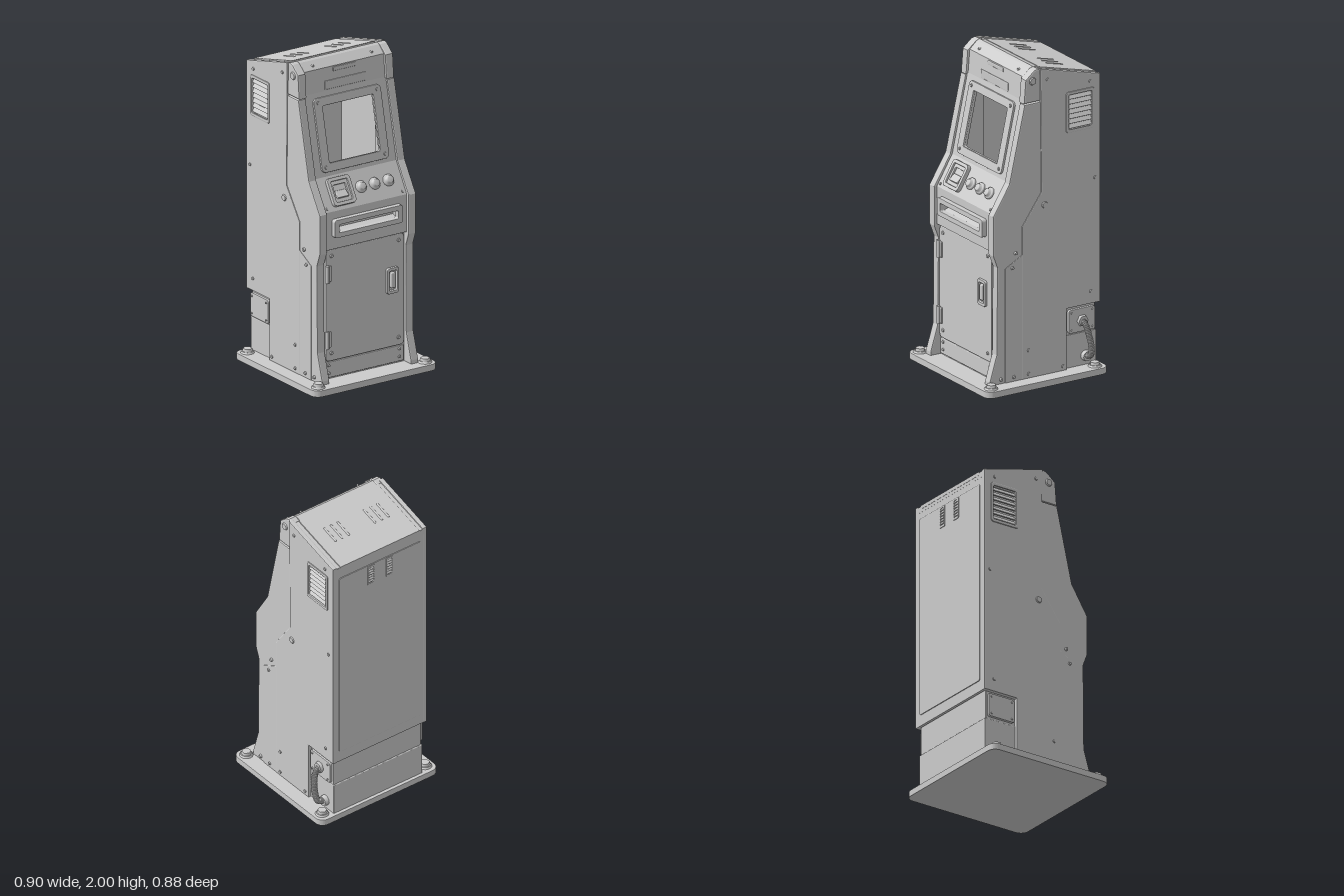
import * as THREE from 'three';
import { RoundedBoxGeometry } from 'three/addons/geometries/RoundedBoxGeometry.js';

const mat = new THREE.MeshStandardMaterial({ color: 0xcccccc });

function add(parent, name, geo, x = 0, y = 0, z = 0) {
  const m = new THREE.Mesh(geo, mat);
  m.name = name;
  m.position.set(x, y, z);
  parent.add(m);
  return m;
}
const box = (w, h, d, r = 0.005) => new RoundedBoxGeometry(w, h, d, 2, r);

function roundRect(path, w, h, r, cx = 0, cy = 0) {
  const a = w / 2, b = h / 2;
  path.absarc(cx + a - r, cy + b - r, r, 0, Math.PI / 2);
  path.absarc(cx - a + r, cy + b - r, r, Math.PI / 2, Math.PI);
  path.absarc(cx - a + r, cy - b + r, r, Math.PI, Math.PI * 1.5);
  path.absarc(cx + a - r, cy - b + r, r, Math.PI * 1.5, Math.PI * 2);
  path.closePath();
  return path;
}

// Plate facing +z with its front at z = 0 + depth, optionally pierced
function plate(w, h, depth, r, hw, hh, bevel = 0.004) {
  const s = roundRect(new THREE.Shape(), w - 2 * bevel, h - 2 * bevel, r);
  if (hw) s.holes.push(roundRect(new THREE.Path(), hw + 2 * bevel, hh + 2 * bevel, 0.012));
  const g = new THREE.ExtrudeGeometry(s, { depth: depth - 2 * bevel, bevelEnabled: bevel > 0,
    bevelSize: bevel, bevelThickness: bevel, bevelSegments: 2, curveSegments: 5 });
  return g.translate(0, 0, bevel);
}

// Side profile of [z, y] points extruded from x0 to x1
function profile(pts, x0, x1, bevel = 0.005, hole) {
  const s = new THREE.Shape(pts.map(([z, y]) => new THREE.Vector2(-z, y)));
  if (hole) s.holes.push(hole);
  const g = new THREE.ExtrudeGeometry(s, { depth: x1 - x0 - 2 * bevel, bevelEnabled: bevel > 0,
    bevelSize: bevel, bevelOffset: -bevel, bevelThickness: bevel, bevelSegments: 2, curveSegments: 4 });
  return g.rotateY(Math.PI / 2).translate(x0 + bevel, 0, 0);
}

// Group lying on the slope between two [z, y] points, local z pointing outward
function slope(parent, name, lo, hi) {
  const g = new THREE.Group();
  g.name = name;
  g.position.set(0, (lo[1] + hi[1]) / 2, (lo[0] + hi[0]) / 2);
  g.rotation.x = Math.atan2(hi[0] - lo[0], hi[1] - lo[1]);
  g.userData.length = Math.hypot(hi[0] - lo[0], hi[1] - lo[1]);
  parent.add(g);
  return g;
}

function screw(parent, x, y, z, r = 0.011, axis = 'z') {
  const g = new THREE.CylinderGeometry(r * 0.75, r, 0.012, 14);
  if (axis === 'z') g.rotateX(Math.PI / 2);
  else g.rotateZ(x > 0 ? -Math.PI / 2 : Math.PI / 2);
  add(parent, 'screw', g, x, y, z);
}

function buildSide(root, s) {
  const g = new THREE.Group();
  g.name = s > 0 ? 'leftSide' : 'rightSide';
  root.add(g);
  const put = (name, pts, a, b, bevel, hole) =>
    add(g, name, profile(pts, s > 0 ? a : -b, s > 0 ? b : -a, bevel, hole));
  // Main shell side with vent opening
  put('shellSide', [[0, 1.997], [-0.43, 1.885], [-0.43, 0.43], [-0.19, 0.43], [-0.19, 0.04],
    [0.13, 0.04], [0.13, 1.015], [-0.007, 1.21]], 0.325, 0.357, 0.006,
    roundRect(new THREE.Path(), 0.175, 0.23, 0.008, 0.283, 1.68));
  // Front frame, top cap and lower side cover
  put('frontFrame', [[-0.02, 1.785], [0.11, 1.785], [0.22, 1.30], [0.335, 1.115], [0.335, 0.865],
    [0.305, 0.785], [0.31, 0.23], [0.36, 0.065], [0.36, 0.04], [0.1, 0.04], [0.1, 1.0], [-0.02, 1.19]],
    0.297, 0.352, 0.007);
  put('frameCap', [[-0.02, 1.985], [0.015, 1.998], [0.04, 1.99], [0.1, 1.94], [0.112, 1.79], [-0.02, 1.79]],
    0.29, 0.348, 0.009);
  put('lowerCover', [[0.12, 0.04], [0.25, 0.04], [0.25, 0.77], [0.12, 0.84]], 0.33, 0.355, 0.004);
  // Louvred vent
  const vent = add(g, 'ventFrame', plate(0.2, 0.26, 0.012, 0.012, 0.165, 0.22), s * 0.351, 1.68, -0.283);
  vent.rotation.y = s * Math.PI / 2;
  add(g, 'ventBack', new THREE.BoxGeometry(0.006, 0.25, 0.19), s * 0.326, 1.68, -0.283);
  for (let i = 0; i < 7; i++) {
    const slat = add(g, 'ventSlat', new THREE.BoxGeometry(0.006, 0.032, 0.17), s * 0.345, 1.587 + i * 0.031, -0.283);
    slat.rotation.z = s * 0.6;
  }
  // Screws and pivot bolt
  [[-0.05, 1.92], [-0.355, 1.85], [-0.39, 1.23], [-0.36, 0.51], [0.085, 0.22], [0.085, 0.07],
    [0.2, 0.765], [0.175, 0.855], [0.19, 0.07], [0.28, 0.07], [-0.16, 0.07]]
    .forEach(([z, y]) => screw(g, s * 0.357, y, z, 0.012, 'x'));
  screw(g, s * 0.358, 1.125, -0.03, 0.024, 'x');
  screw(g, s * 0.35, 1.925, 0.05, 0.027, 'x');
  // Socket cover in the rear notch
  const socket = add(g, 'socketPlate', plate(0.19, 0.15, 0.02, 0.012), s * 0.333, 0.338, -0.3);
  socket.rotation.y = s * Math.PI / 2;
  [-0.075, 0.075].forEach(dz => [-0.055, 0.055].forEach(dy => screw(g, s * 0.353, 0.338 + dy, -0.3 + dz, 0.007, 'x')));
}

function buildCable(root) {
  const g = new THREE.Group();
  g.name = 'powerCable';
  root.add(g);
  const curve = new THREE.CatmullRomCurve3([[0.35, 0.335, -0.3], [0.385, 0.32, -0.302], [0.408, 0.25, -0.315],
    [0.412, 0.18, -0.328], [0.395, 0.12, -0.335], [0.335, 0.1, -0.335]].map(p => new THREE.Vector3(...p)));
  add(g, 'cable', new THREE.TubeGeometry(curve, 40, 0.016, 10));
  for (let i = 2; i < 32; i++) {
    const t = i / 34;
    const ring = add(g, 'cableRib', new THREE.TorusGeometry(0.016, 0.004, 6, 12), ...curve.getPointAt(t).toArray());
    ring.lookAt(curve.getPointAt(t).add(curve.getTangentAt(t)));
  }
  add(g, 'plugNut', new THREE.CylinderGeometry(0.034, 0.038, 0.025, 6).rotateZ(-Math.PI / 2), 0.36, 0.335, -0.3);
  add(g, 'cableGland', new THREE.CylinderGeometry(0.03, 0.034, 0.03, 16).rotateZ(-Math.PI / 2), 0.348, 0.1, -0.335);
}

function buildFront(root) {
  const g = new THREE.Group();
  g.name = 'front';
  root.add(g);
  // Hood over the screen
  add(g, 'hood', profile([[-0.03, 1.95], [-0.03, 1.985], [0.015, 1.998], [0.035, 1.99], [0.085, 1.945],
    [0.097, 1.8], [0.07, 1.8], [0.05, 1.93]], -0.292, 0.292, 0.004));
  add(g, 'hoodSlot', box(0.17, 0.025, 0.012), 0, 1.925, 0.086);
  add(g, 'marquee', box(0.3, 0.055, 0.01), 0, 1.835, 0.094);
  [-0.215, 0.215].forEach(x => screw(g, x, 1.965, 0.064, 0.009));

  // Screen panel with open window
  const scr = slope(g, 'screenPanel', [0.205, 1.3], [0.095, 1.8]);
  add(scr, 'screenSurround', plate(0.6, scr.userData.length, 0.02, 0.003, 0.385, 0.36, 0), 0, 0, -0.02);
  add(scr, 'screenBezel', plate(0.49, 0.455, 0.016, 0.025, 0.37, 0.35), 0, -0.003, -0.002);
  [-0.215, 0.215].forEach(x => [-0.2, 0.195].forEach(y => screw(scr, x, y, 0.014, 0.012)));

  // Control panel with coin unit and buttons
  const con = slope(g, 'controlPanel', [0.315, 1.115], [0.205, 1.3]);
  add(con, 'controlPlate', new THREE.BoxGeometry(0.6, con.userData.length, 0.03), 0, 0, -0.015);
  add(con, 'coinFrame', plate(0.165, 0.175, 0.028, 0.02, 0.12, 0.13), -0.15, 0.003, -0.002);
  add(con, 'coinInnerFrame', plate(0.125, 0.135, 0.016, 0.01, 0.09, 0.085), -0.15, 0.003, -0.002);
  add(con, 'coinChute', box(0.08, 0.05, 0.03), -0.15, -0.018, 0.002).rotation.x = -0.35;
  const button = [[0, 0.034], [0.018, 0.034], [0.023, 0.03], [0.025, 0.015], [0.033, 0.014], [0.037, 0.008], [0.037, 0]]
    .reverse().map(p => new THREE.Vector2(...p));
  [0, 0.1, 0.2].forEach(x => add(con, 'button', new THREE.LatheGeometry(button, 24).rotateX(Math.PI / 2), x, 0, 0));
  [-0.275, 0.275].forEach(x => screw(con, x, -0.085, 0, 0.01));

  // Dispensing slot
  add(g, 'slotPanel', plate(0.6, 0.24, 0.03, 0.003, 0.44, 0.055, 0), 0, 0.995, 0.285);
  add(g, 'slotBezel', plate(0.5, 0.115, 0.036, 0.015, 0.43, 0.05), 0, 1.01, 0.312);
  add(g, 'slotBack', new THREE.BoxGeometry(0.46, 0.08, 0.01), 0, 1.01, 0.275);
  add(g, 'slotTray', new THREE.BoxGeometry(0.44, 0.006, 0.06), 0, 0.985, 0.305).rotation.x = 0.3;

  // Lower cabinet, door, hinges and latch
  add(g, 'lowerFront', new THREE.BoxGeometry(0.6, 0.84, 0.19), 0, 0.46, 0.19);
  add(g, 'door', plate(0.57, 0.71, 0.024, 0.02), 0, 0.515, 0.281);
  add(g, 'kickPlate', box(0.58, 0.1, 0.02), 0, 0.1, 0.285);
  [0.72, 0.3].forEach(y => {
    add(g, 'hingeLeaf', box(0.035, 0.1, 0.015), -0.267, y, 0.308);
    add(g, 'hingePin', new THREE.CylinderGeometry(0.012, 0.012, 0.11, 12), -0.282, y, 0.314);
  });
  add(g, 'latchFrame', plate(0.088, 0.165, 0.02, 0.014, 0.055, 0.125), 0.196, 0.585, 0.302);
  add(g, 'latchHandle', box(0.032, 0.1, 0.026, 0.008), 0.196, 0.588, 0.312);
  [-0.245, 0.245].forEach(x => [0.21, 0.83].forEach(y => screw(g, x, y, 0.306, 0.013)));
  [-0.258, 0.258].forEach(x => [0.08, 0.13].forEach(y => screw(g, x, y, 0.296, 0.011)));
}

function buildRear(root) {
  const g = new THREE.Group();
  g.name = 'rear';
  root.add(g);
  // Back wall and access panel
  add(g, 'backWall', new THREE.BoxGeometry(0.66, 1.45, 0.018), 0, 1.155, -0.42);
  add(g, 'accessPanel', plate(0.62, 1.3, 0.012, 0.012, 0, 0, 0.003), 0, 1.15, -0.422).rotation.y = Math.PI;
  for (const x of [-0.07, 0.07]) {
    add(g, 'backVentFrame', plate(0.055, 0.14, 0.012, 0.008, 0.035, 0.115, 0.002), x, 1.725, -0.426).rotation.y = Math.PI;
    for (let i = 0; i < 6; i++)
      add(g, 'backVentSlat', new THREE.BoxGeometry(0.036, 0.012, 0.006), x, 1.68 + i * 0.018, -0.435).rotation.x = 0.5;
  }
  // Stepped plinth
  add(g, 'plinth', box(0.672, 0.215, 0.5), 0, 0.143, -0.163);
  add(g, 'plinthBand', box(0.664, 0.2, 0.49), 0, 0.34, -0.16);
  // Sloping roof with raised centre and louvres
  add(g, 'roof', profile([[0, 1.989], [-0.43, 1.877], [-0.43, 1.84], [0, 1.95]], -0.34, 0.34, 0.002));
  add(g, 'roofPanel', profile([[-0.025, 1.99], [-0.432, 1.884], [-0.432, 1.86], [-0.025, 1.965]], -0.3, 0.3, 0.003));
  for (const x of [-0.2, -0.15, -0.1, 0.1, 0.15, 0.2]) {
    const louvre = add(g, 'roofLouvre', new THREE.CapsuleGeometry(0.008, 0.11, 4, 8).rotateX(Math.PI / 2), x, 1.941, -0.2);
    louvre.rotation.x = -0.255;
  }
}

export function createModel() {
  const root = new THREE.Group();
  root.name = 'arcadeKiosk';
  // Floor plate with hex bolts
  add(root, 'basePlate', plate(0.9, 0.87, 0.042, 0.05).rotateX(-Math.PI / 2));
  for (const x of [-0.39, 0.39]) for (const z of [-0.368, 0.375]) {
    add(root, 'washer', new THREE.CylinderGeometry(0.036, 0.043, 0.012, 20), x, 0.047, z);
    add(root, 'hexBolt', new THREE.CylinderGeometry(0.029, 0.034, 0.02, 6), x, 0.06, z);
  }
  buildSide(root, 1);
  buildSide(root, -1);
  buildFront(root);
  buildRear(root);
  buildCable(root);
  return root;
}
